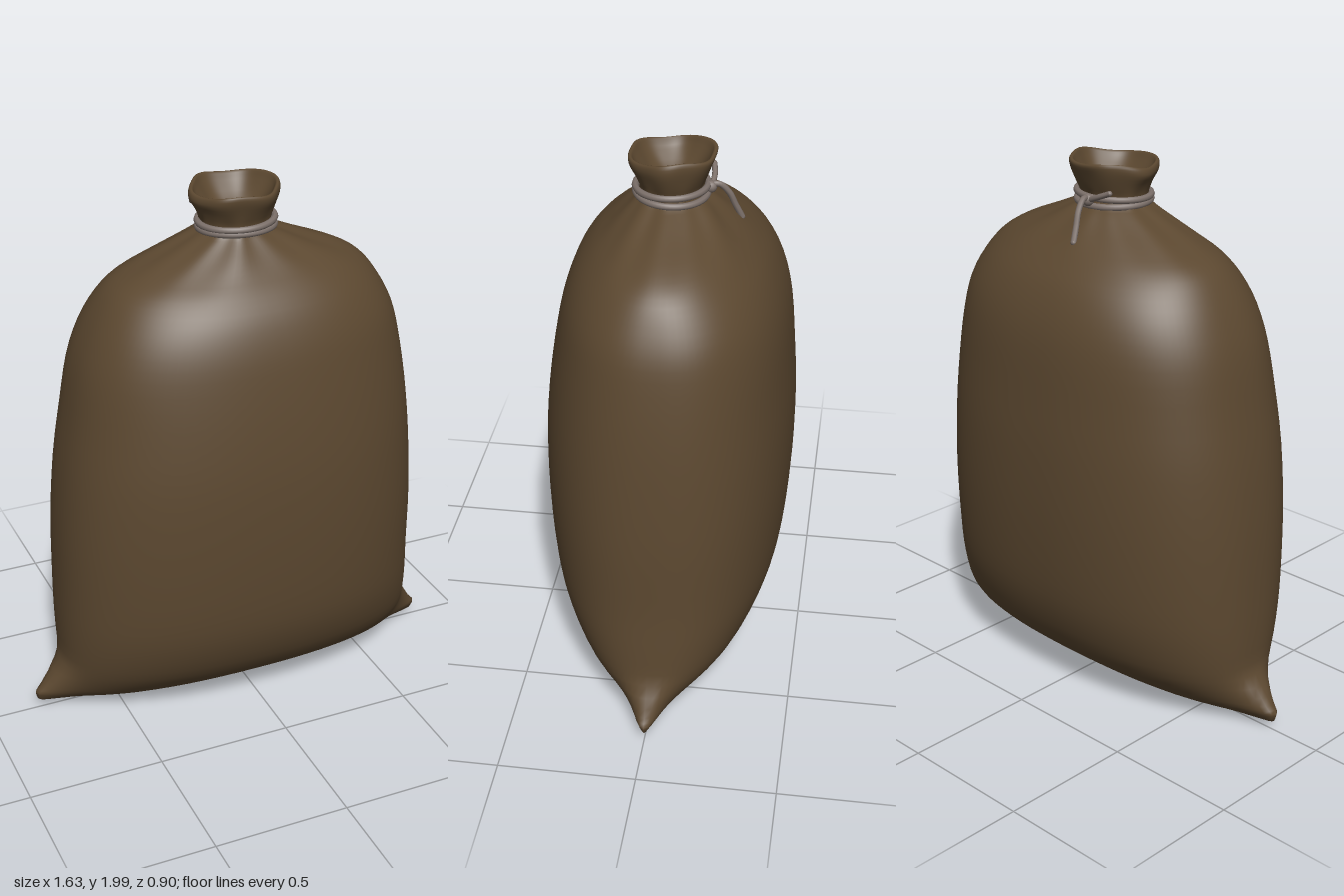
import * as THREE from 'three';

const sackCloth = new THREE.MeshStandardMaterial({ color: 0x5c4830 });
sackCloth.name = 'brown sackcloth';
const twine = new THREE.MeshStandardMaterial({ color: 0x7d716b });
twine.name = 'grey twine';

// Cross-sections from the bottom seam to the neck: y, left (-x), right (+x), front (+z), back (-z)
const bodyRows = [
  [0.005, 0.66, 0.66, 0.0, 0.0],
  [0.015, 0.68, 0.68, 0.06, 0.06],
  [0.05, 0.69, 0.69, 0.15, 0.15],
  [0.1, 0.7, 0.7, 0.225, 0.225],
  [0.2, 0.705, 0.72, 0.325, 0.325],
  [0.34, 0.708, 0.715, 0.395, 0.39],
  [0.5, 0.706, 0.705, 0.43, 0.425],
  [0.75, 0.698, 0.7, 0.448, 0.445],
  [1.0, 0.675, 0.682, 0.448, 0.448],
  [1.2, 0.642, 0.66, 0.43, 0.437],
  [1.38, 0.608, 0.63, 0.402, 0.422],
  [1.5, 0.565, 0.6, 0.375, 0.395],
  [1.6, 0.51, 0.55, 0.335, 0.35],
  [1.67, 0.45, 0.495, 0.285, 0.295],
  [1.72, 0.36, 0.415, 0.235, 0.245],
  [1.77, 0.25, 0.29, 0.185, 0.19],
  [1.81, 0.165, 0.195, 0.145, 0.145],
];
// Tied neck, flared mouth, then down into the hollow
const neckRows = [
  [1.835, 0.122, 0.145, 0.126, 0.112],
  [1.865, 0.118, 0.14, 0.12, 0.106],
  [1.9, 0.13, 0.152, 0.132, 0.12],
  [1.95, 0.152, 0.168, 0.152, 0.14],
  [1.98, 0.15, 0.166, 0.157, 0.15],
  [1.986, 0.138, 0.154, 0.146, 0.138],
  [1.96, 0.125, 0.14, 0.13, 0.122],
  [1.91, 0.085, 0.1, 0.09, 0.08],
  [1.88, 0.04, 0.055, 0.045, 0.035],
  [1.875, 0.0, 0.0, 0.0, 0.0],
];

const { smoothstep, clamp } = THREE.MathUtils;
const spow = (v, p) => Math.sign(v) * Math.pow(Math.abs(v), p);

// Point on the cloth at one section and angle
function clothPoint([y, left, right, front, back], a) {
  const c = Math.cos(a), s = Math.sin(a);
  const p = 2 / (2.3 - 0.3 * smoothstep(y, 1.5, 1.8));
  let x = spow(c, p) * (c < 0 ? left : right);
  let z = spow(s, p) * (s < 0 ? back : front);

  // pinched corners of the bottom seam
  const ear = 0.125 * clamp((0.21 - y) / 0.15, 0, 1);
  x += Math.sign(c) * ear * Math.pow(Math.abs(c), 30);

  // gathers running from the tie down the shoulders
  const gather = 0.04 * Math.exp(-Math.pow((y - 1.8) / 0.075, 2));
  const mouth = 0.025 * smoothstep(y, 1.86, 1.95);
  const wave = 0.6 * Math.sin(11 * a + 0.6) + 0.5 * Math.sin(7 * a + 2);
  const fold = 1 + gather * wave + mouth * Math.sin(6 * a + 1);
  x *= fold;
  z *= fold;

  // raised seam ends and uneven rim
  const lift = 0.03 * Math.pow(Math.abs(x) / 0.8, 4) * clamp(1 - y / 0.1, 0, 1);
  const rim = smoothstep(y, 1.9, 1.98) *
    (0.008 * Math.sin(3 * a + 2.2) + 0.006 * c - 0.006 * s - 0.004);
  return [x, y + lift + rim, z];
}

function buildCloth() {
  const rows = [...bodyRows, ...neckRows];
  const sections = (rows.length - 1) * 3 + 1, sides = 96;
  const spline = new THREE.CubicInterpolant(rows.map((_, i) => i), rows.flat(), 5, new Float32Array(5));
  const pos = [], index = [];
  for (let i = 0; i < sections; i++) {
    const row = Array.from(spline.evaluate(Math.min(i / 3, rows.length - 1)));
    for (let k = 1; k < 5; k++) row[k] = Math.max(0, row[k]);
    for (let j = 0; j < sides; j++) {
      pos.push(...clothPoint(row, (j / sides) * Math.PI * 2));
      if (i === sections - 1) continue;
      const a = i * sides + j, b = i * sides + ((j + 1) % sides);
      index.push(a, a + sides, b, b, a + sides, b + sides);
    }
  }
  const geo = new THREE.BufferGeometry();
  geo.setAttribute('position', new THREE.Float32BufferAttribute(pos, 3));
  geo.setIndex(index);
  geo.computeVertexNormals();
  return geo;
}

function cord(name, points, radius, closed = false) {
  const curve = new THREE.CatmullRomCurve3(points.map((p) => new THREE.Vector3(...p)), closed);
  const mesh = new THREE.Mesh(new THREE.TubeGeometry(curve, closed ? 64 : 24, radius, 8, closed), twine);
  mesh.name = name;
  return mesh;
}

export function createModel() {
  const model = new THREE.Group();
  model.name = 'tiedSack';

  const sack = new THREE.Mesh(buildCloth(), sackCloth);
  sack.name = 'sackBody';
  model.add(sack);

  // two turns of twine round the neck
  const tie = new THREE.Group();
  tie.name = 'neckTie';
  [1.838, 1.862].forEach((y, n) => {
    const ring = [];
    for (let k = 0; k < 16; k++) {
      const a = (k / 16) * Math.PI * 2;
      ring.push([0.011 + 0.138 * Math.cos(a), y + 0.005 * Math.sin(a + n * 2), 0.007 + 0.126 * Math.sin(a)]);
    }
    tie.add(cord('twineTurn', ring, 0.012, true));
  });

  // knot and loose ends at the back
  const knot = new THREE.Mesh(new THREE.SphereGeometry(0.022, 12, 8), twine);
  knot.name = 'knot';
  knot.position.set(0.005, 1.855, -0.128);
  tie.add(knot);
  const tail = [[0.005, 1.86, -0.125], [0, 1.865, -0.155], [-0.01, 1.83, -0.19], [-0.02, 1.78, -0.212], [-0.03, 1.73, -0.235]];
  tie.add(cord('longEnd', tail, 0.011));
  tie.add(cord('shortEnd', [[0, 1.855, -0.13], [-0.05, 1.875, -0.135], [-0.1, 1.895, -0.128]], 0.01));
  // caps on the loose ends
  for (const [end, r] of [[tail[4], 0.011], [[-0.1, 1.895, -0.128], 0.01]]) {
    const tip = new THREE.Mesh(new THREE.SphereGeometry(r, 8, 6), twine);
    tip.name = 'cordTip';
    tip.position.set(...end);
    tie.add(tip);
  }
  model.add(tie);
  return model;
}
